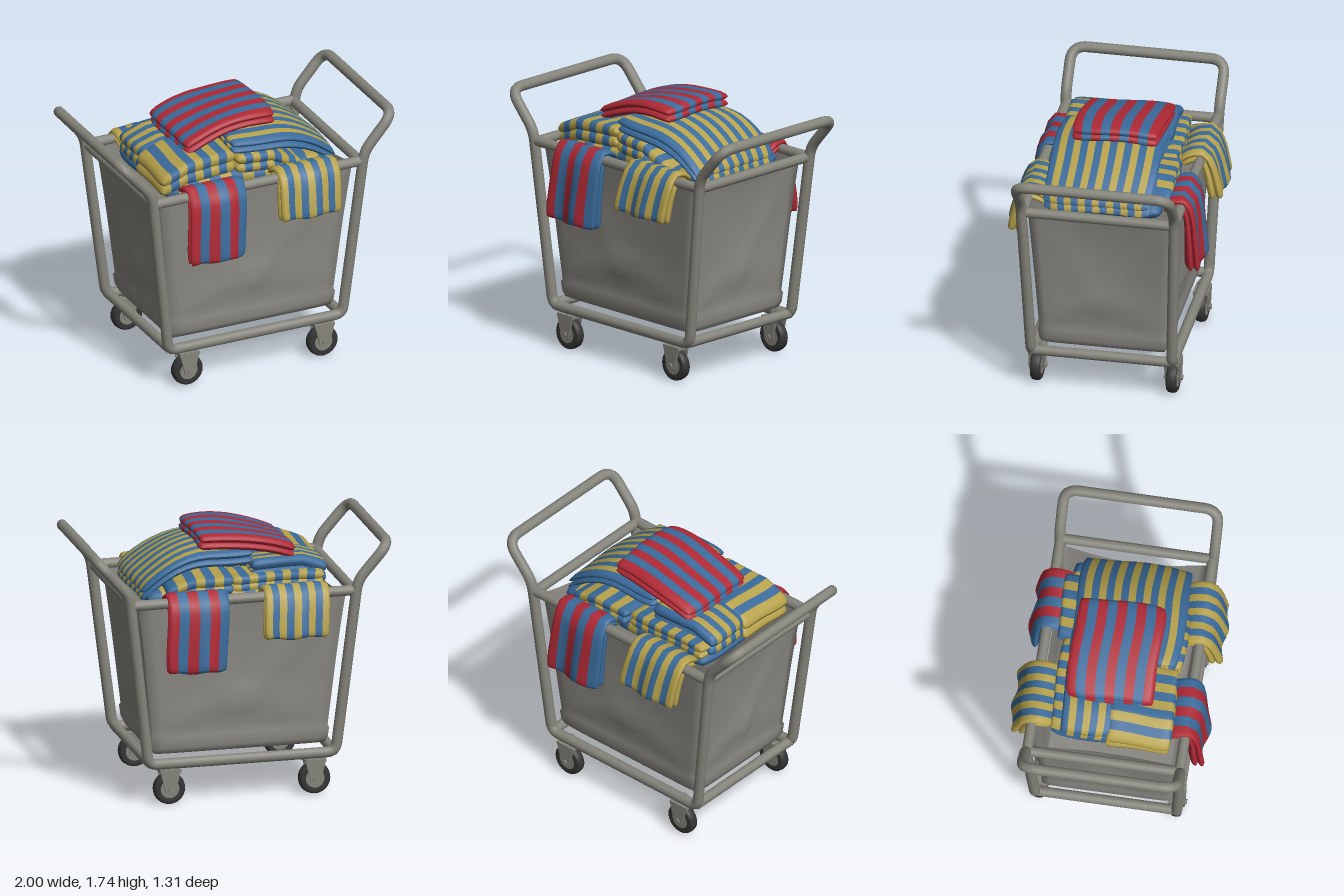
import * as THREE from 'three';

const mat = (name, color, side = THREE.FrontSide) => {
  const m = new THREE.MeshStandardMaterial({ color, side });
  m.name = name;
  return m;
};
const V = (x, y, z) => new THREE.Vector3(x, y, z);

export function createModel() {
  const model = new THREE.Group();
  const metal = mat('grey metal', 0x85847b);
  const canvas = mat('grey canvas', 0x8a8882, THREE.DoubleSide);
  const rubber = mat('dark rubber', 0x353535);
  const red = mat('red cloth', 0xaf2935);
  const blue = mat('blue cloth', 0x3a6b9b);
  const yellow = mat('yellow cloth', 0xb6a14b);

  const add = (parent, name, geo, material, x = 0, y = 0, z = 0) => {
    const m = new THREE.Mesh(geo, material);
    m.name = name;
    m.position.set(x, y, z);
    parent.add(m);
    return m;
  };

  // Main tube: both handles, four legs and the side bottom rails in one bent loop
  const half = [[0.963, 1.655, 0.503, 0.1], [0.757, 1.42, 0.503, 0.07], [0.622, 0.272, 0.46, 0.06]];
  const corners = [
    ...half,
    ...[...half].reverse().map(([x, y, z, r]) => [-x, y, z, r]),
    ...half.map(([x, y, z, r]) => [-x, y, -z, r]),
    ...[...half].reverse().map(([x, y, z, r]) => [x, y, -z, r]),
  ].map(([x, y, z, r]) => ({ p: V(x, y, z), r }));
  const path = new THREE.CurvePath();
  const toward = (a, b) => a.p.clone().add(b.p.clone().sub(a.p).setLength(a.r));
  corners.forEach((c, i) => {
    const prev = corners[(i + 11) % 12], next = corners[(i + 1) % 12];
    path.add(new THREE.QuadraticBezierCurve3(toward(c, prev), c.p, toward(c, next)));
    path.add(new THREE.LineCurve3(toward(c, next), toward(next, c)));
  });
  path.arcLengthDivisions = 800;
  add(model, 'tubeFrame', new THREE.TubeGeometry(path, 420, 0.035, 12, true), metal);

  // Straight rails
  const bar = (name, a, b, r) => {
    const d = b.clone().sub(a);
    const m = add(model, name, new THREE.CylinderGeometry(r, r, d.length(), 14), metal);
    m.position.copy(a).lerp(b, 0.5);
    m.quaternion.setFromUnitVectors(V(0, 1, 0), d.normalize());
  };
  for (const s of [1, -1]) {
    bar('topSideRail', V(-0.745, 1.355, s * 0.495), V(0.745, 1.355, s * 0.495), 0.034);
    bar('topEndRail', V(s * 0.735, 1.35, -0.5), V(s * 0.735, 1.35, 0.5), 0.033);
    bar('bottomEndRail', V(s * 0.61, 0.28, -0.46), V(s * 0.61, 0.28, 0.46), 0.033);
  }

  // Canvas bag: rectangular rings lofted upward, pulled in between the corners
  const levels = [[0.315, 0, 0], [0.315, 0.53, 0.37], [0.325, 0.575, 0.41], [0.36, 0.592, 0.424], [0.425, 0.6, 0.432],
    [0.44, 0.592, 0.422], [0.5, 0.598, 0.427], [0.58, 0.607, 0.432], [0.66, 0.616, 0.437], [0.75, 0.626, 0.442],
    [0.85, 0.637, 0.448], [0.95, 0.648, 0.455], [1.05, 0.661, 0.461], [1.15, 0.674, 0.467], [1.25, 0.688, 0.474], [1.345, 0.702, 0.482]];
  const N = 16, pos = [], idx = [], ring = 4 * N;
  for (const [y, hx, hz] of levels) {
    const k = (y - 0.315) / 1.03;
    for (let i = 0; i < ring; i++) {
      const side = Math.floor(i / N), t = (i % N) / N * 2 - 1;
      const isEnd = side % 2, mid = 1 - t * t;
      // sag growing toward the rim, an arched fold low down and creases fanning from the top corners
      const arch = Math.exp(-(((k - 0.33 + 0.2 * t * t) / 0.06) ** 2)) * 0.018 * mid;
      const crease = Math.exp(-(((1 - k - 0.7 * (1 - Math.abs(t))) / 0.08) ** 2)) * 0.014 * mid;
      const sag = (isEnd ? 0.045 : 0.025) * mid * Math.min(1, k * 1.4);
      const pull = hx ? sag - arch - crease : 0;
      const round = 1 - 0.02 * t ** 8;
      const [ax, az] = [[t * hx * round, hz * round - pull], [hx * round - pull, -t * hz * round],
        [-t * hx * round, pull - hz * round], [pull - hx * round, t * hz * round]][side];
      pos.push(ax, y - (k > 0.95 ? (isEnd ? 0.05 : 0.02) * mid : 0), az);
    }
  }
  for (let l = 0; l < levels.length - 1; l++)
    for (let i = 0; i < ring; i++) {
      const a = l * ring + i, b = l * ring + (i + 1) % ring;
      idx.push(a, b, b + ring, a, b + ring, a + ring);
    }
  const bagGeo = new THREE.BufferGeometry();
  bagGeo.setAttribute('position', new THREE.Float32BufferAttribute(pos, 3));
  bagGeo.setIndex(idx);
  bagGeo.computeVertexNormals();
  add(model, 'canvasBag', bagGeo, canvas);

  // Casters
  const tyreGeo = new THREE.LatheGeometry([[0.062, -0.03], [0.09, -0.034], [0.102, -0.024], [0.106, 0],
    [0.102, 0.024], [0.09, 0.034], [0.062, 0.03]].map(p => new THREE.Vector2(...p)), 28).rotateX(Math.PI / 2);
  const hubGeo = new THREE.CylinderGeometry(0.066, 0.066, 0.054, 24).rotateX(Math.PI / 2);
  const axleGeo = new THREE.CylinderGeometry(0.018, 0.018, 0.122, 12).rotateX(Math.PI / 2);
  const fork = new THREE.Shape([[-0.032, -0.02], [-0.015, -0.035], [0.015, -0.035], [0.032, -0.02], [0.07, 0.13], [-0.07, 0.13]]
    .map(p => new THREE.Vector2(...p)));
  const forkGeo = new THREE.ExtrudeGeometry(fork, { depth: 0.012, bevelEnabled: false });
  for (const x of [0.482, -0.482]) for (const z of [0.445, -0.445]) {
    const caster = new THREE.Group();
    caster.name = 'caster';
    caster.position.set(x, 0.106, z);
    model.add(caster);
    add(caster, 'tyre', tyreGeo, rubber);
    add(caster, 'wheelHub', hubGeo, metal);
    add(caster, 'axle', axleGeo, metal);
    add(caster, 'forkSide', forkGeo, metal, 0, 0, 0.038);
    add(caster, 'forkSide', forkGeo, metal, 0, 0, -0.05);
    add(caster, 'forkTop', new THREE.BoxGeometry(0.14, 0.02, 0.1), metal, 0, 0.122, 0);
    add(caster, 'stem', new THREE.CylinderGeometry(0.03, 0.03, 0.06, 12), metal, 0, 0.15, 0);
  }

  // Folded striped cloth: u runs across the stripes, v along them, w through the thickness
  const cloth = (parent, name, pair, stripes, thick, layers, place) => {
    const NU = stripes * 3, NV = 16, R = 2 * NV, p = [], ix = [], geo = new THREE.BufferGeometry();
    // rings crowd together at both rims so that the folds look round
    const across = i => ({ 1: 0.06, 2: 0.35, [NU - 2]: stripes - 0.35, [NU - 1]: stripes - 0.06 }[i] ?? i / 3) / stripes;
    for (let l = 0; l < layers; l++) {
      const base = p.length / 3, w0 = ((l + 0.5) / layers - 0.5) * thick;
      for (let i = 0; i <= NU; i++) for (let j = 0; j < R; j++) {
        const u = across(i), k = j < NV ? j : R - j, v = 0.5 - 0.5 * Math.cos(Math.PI * k / NV);
        const a = 2 * u - 1, b = 2 * v - 1;
        const full = Math.max(0, (1 - Math.abs(a) ** 20) * (1 - Math.abs(b) ** 20));
        const h = thick / layers * 0.56 * Math.sqrt(full) * (j < NV ? 1 : -1);
        // rounded corners in plan
        p.push(...place(0.5 + a * (0.5 - 0.02 * b ** 8), 0.5 + b * (0.5 - 0.02 * a ** 8), w0 + h).toArray());
      }
      for (let i = 0; i < NU; i++) {
        if (i % 3 === 0) geo.addGroup(ix.length, R * 18, (i / 3) % 2);
        for (let j = 0; j < R; j++) {
          const a = base + i * R + j, b = base + i * R + (j + 1) % R;
          ix.push(a, b, b + R, a, b + R, a + R);
        }
      }
    }
    // Turn the faces outward if the placing rule mirrored them
    const at = i => V(p[3 * i], p[3 * i + 1], p[3 * i + 2]);
    const o = at(0);
    let volume = 0;
    for (let i = 0; i < ix.length; i += 3)
      volume += at(ix[i]).sub(o).dot(at(ix[i + 1]).sub(o).cross(at(ix[i + 2]).sub(o)));
    if (volume < 0) for (let i = 0; i < ix.length; i += 3) [ix[i], ix[i + 1]] = [ix[i + 1], ix[i]];
    geo.setAttribute('position', new THREE.Float32BufferAttribute(p, 3));
    geo.setIndex(ix);
    geo.computeVertexNormals();
    add(parent, name, geo, pair);
  };

  // Towels lying in the pile; alongX tells which way the stripes run
  const lay = (name, pair, stripes, alongX, [x0, x1, z0, z1], thick, layers, height) =>
    cloth(model, name, pair, stripes, thick, layers, (u, v, w) => {
      const [a, b] = alongX ? [v, u] : [u, v];
      const x = x0 + (x1 - x0) * a, z = z0 + (z1 - z0) * b;
      return V(x + 0.007 * Math.sin(11 * z + 12 * w), height(x, z) + w + 0.006 * Math.sin(8 * x + 7 * z),
        z + 0.007 * Math.sin(10 * x + 12 * w));
    });
  const yb = [yellow, blue], by = [blue, yellow], rb = [red, blue];
  lay('bottomTowel', by, 15, false, [-0.6, 0.6, -0.38, 0.38], 0.1, 1, () => 1.34);
  lay('leftFrontTowel', yb, 9, false, [-0.635, -0.1, -0.01, 0.41], 0.14, 2, x => 1.478 - 0.4 * Math.max(0, -0.45 - x));
  lay('leftBackTowel', by, 7, true, [-0.61, -0.1, -0.31, 0.02], 0.13, 2, x => 1.478 - 0.3 * Math.max(0, -0.45 - x));
  lay('lowerBackTowel', yb, 11, false, [-0.58, 0.04, -0.375, -0.1], 0.1, 2, () => 1.41);
  lay('middleTowel', yb, 9, false, [-0.1, 0.38, -0.1, 0.42], 0.13, 2, x => 1.452 - 0.5 * Math.max(0, x - 0.15));
  lay('backTowel', by, 7, false, [0.03, 0.48, -0.42, -0.1], 0.11, 2, x => 1.42 - 0.3 * Math.max(0, x - 0.3));
  lay('rightTowel', by, 15, true, [-0.125, 0.63, -0.32, 0.395], 0.095, 2,
    (x, z) => 1.588 - 1.05 * Math.max(0, x - 0.17) ** 2 - 0.2 * z * z);
  lay('topTowel', rb, 9, true, [-0.405, 0.24, -0.3, 0.27], 0.092, 2,
    (x, z) => 1.685 - 0.42 * (x - 0.12) ** 2 - 0.1 * z * z);

  // Towels hung over the side rails; the back pair is the front pair turned round
  const hang = (parent, name, pair, stripes, x0, x1, points, thick, wave) => {
    const curve = new THREE.CatmullRomCurve3(points.map(([z, y]) => V(0, y, z)));
    cloth(parent, name, pair, stripes, thick, 2, (u, v, w) => {
      const c = curve.getPointAt(v), t = curve.getTangentAt(v), d = w * (0.8 + 0.4 * v);
      const x = x0 + (x1 - x0) * u + 0.01 * Math.sin(5 * v);
      return V(x, c.y + t.z * d + 0.008 * Math.sin(12 * u) * v, c.z - t.y * d + wave(u) * v);
    });
  };
  for (const turn of [0, Math.PI]) {
    const pair = new THREE.Group();
    pair.name = turn ? 'backHangingTowels' : 'frontHangingTowels';
    pair.rotation.y = turn;
    model.add(pair);
    hang(pair, 'longHangingTowel', rb, 6, -0.52, -0.115,
      [[0.37, 1.33], [0.44, 1.375], [0.505, 1.382], [0.54, 1.3], [0.56, 1.1], [0.572, 0.9]], 0.075,
      u => 0.02 * Math.sin(9 * u - 4.2));
    hang(pair, 'shortHangingTowel', yb, 9, 0.12, 0.55,
      [[0.37, 1.33], [0.44, 1.375], [0.505, 1.382], [0.55, 1.3], [0.577, 1.19], [0.595, 1.09]], 0.085,
      u => 0.014 * Math.cos(11 * u));
  }
  return model;
}
